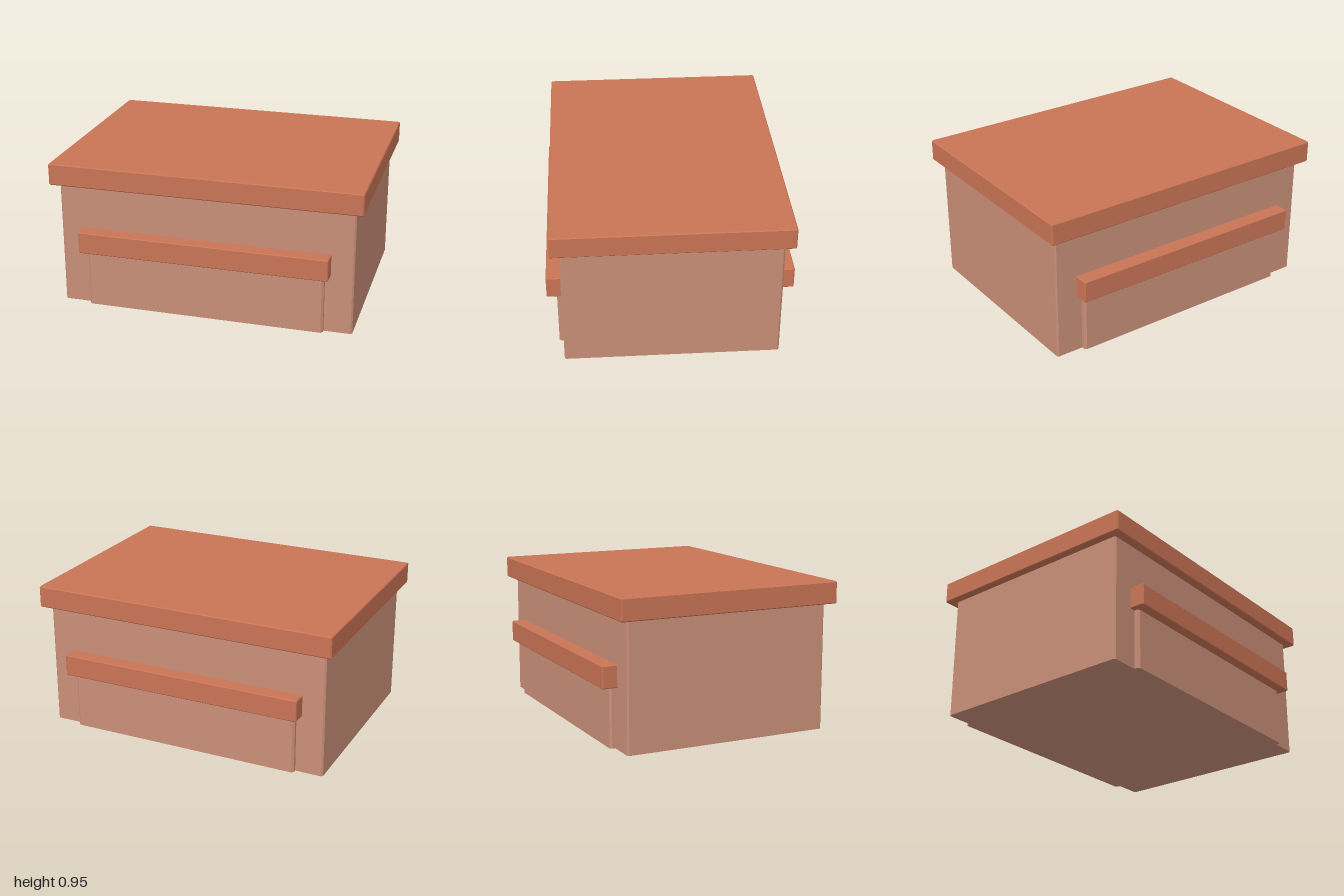
import * as THREE from 'three';

// Rectangle in the ground plane with cut corners
function cutRect(w, d, c) {
  const x = w / 2, y = d / 2;
  return new THREE.Shape([
    [x - c, -y], [x, -y + c], [x, y - c], [x - c, y],
    [-x + c, y], [-x, y - c], [-x, -y + c], [-x + c, -y],
  ].map(([a, b]) => new THREE.Vector2(a, b)));
}

// Upright block from y0 to y1; bevel also chamfers its top and bottom edges
function block(name, material, w, d, y0, y1, z, corner, bevel = 0) {
  const geometry = new THREE.ExtrudeGeometry(cutRect(w - 2 * bevel, d - 2 * bevel, corner), {
    depth: y1 - y0 - 2 * bevel,
    bevelEnabled: bevel > 0,
    bevelSize: bevel,
    bevelThickness: bevel,
    bevelSegments: 1,
  });
  geometry.rotateX(-Math.PI / 2);
  geometry.translate(0, y0 + bevel, z);
  const mesh = new THREE.Mesh(geometry, material);
  mesh.name = name;
  return mesh;
}

export function createModel() {
  const wall = new THREE.MeshStandardMaterial({ color: 0xc98f78 });
  wall.name = 'pale clay';
  const trim = new THREE.MeshStandardMaterial({ color: 0xc97455 });
  trim.name = 'terracotta';

  const model = new THREE.Group();
  model.name = 'slabRoofBlock';

  // Main body and overhanging roof slab
  model.add(block('body', wall, 1.9, 1.35, 0, 0.83, 0, 0.01));
  model.add(block('roofSlab', trim, 2, 1.465, 0.81, 0.95, 0, 0.003, 0.006));

  // Low projecting bay with a capping ledge, on the front and the back
  for (const [side, s] of [['front', 1], ['back', -1]]) {
    const bay = new THREE.Group();
    bay.name = side + 'Bay';
    bay.add(block('bayWall', wall, 1.54, 0.11, 0, 0.4, s * 0.653, 0.013));
    bay.add(block('bayLedge', trim, 1.61, 0.17, 0.38, 0.52, s * 0.685, 0.003, 0.005));
    model.add(bay);
  }
  return model;
}
